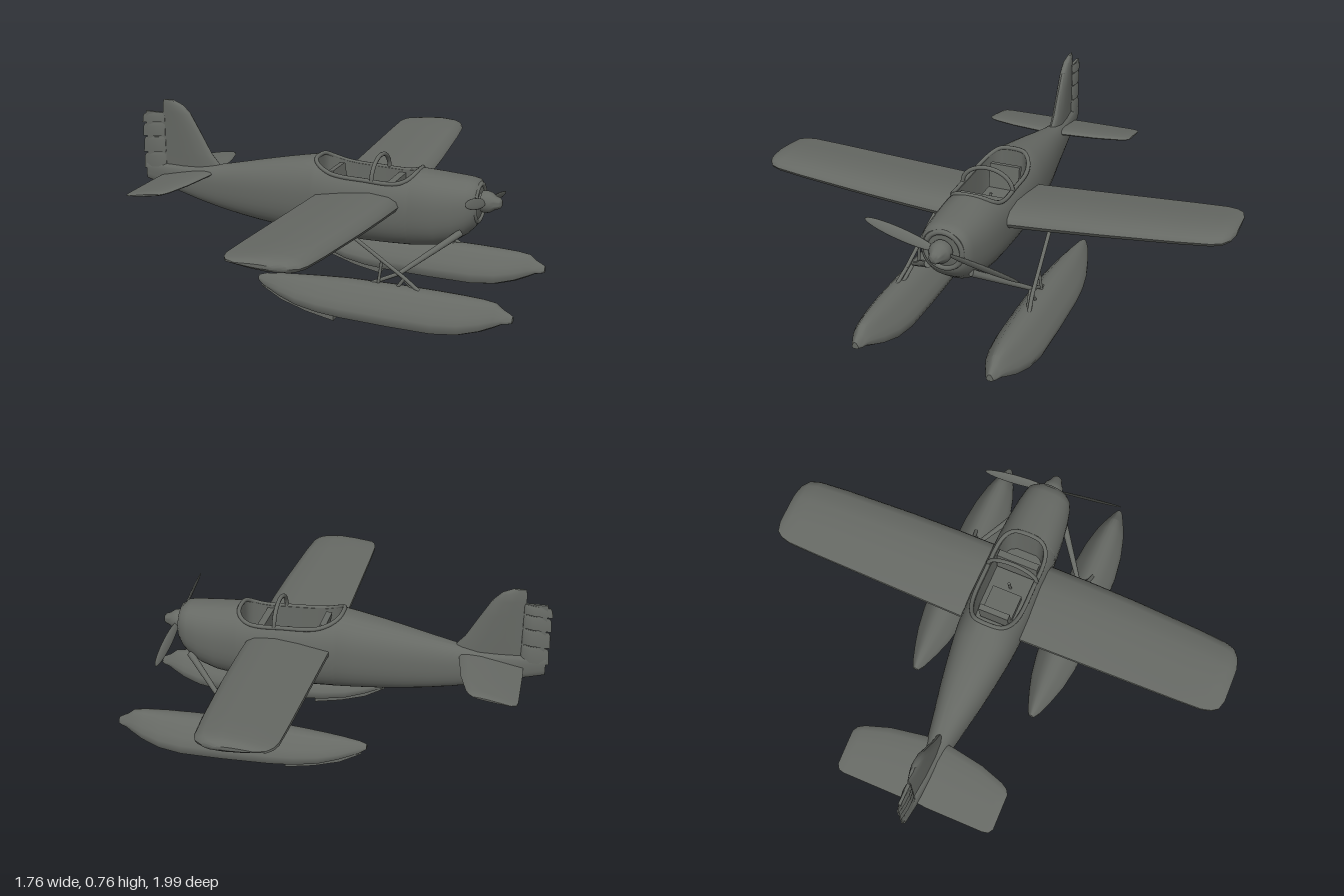
import * as THREE from 'three';
import { toCreasedNormals } from 'three/addons/utils/BufferGeometryUtils.js';

const V = (x, y, z) => new THREE.Vector3(x, y, z);

// Skin closed rings of points (each ring counter-clockwise about the direction of travel)
function loft(rings, crease = 0.7) {
  const n = rings[0].length, pos = [], idx = [];
  rings.forEach(r => r.forEach(p => pos.push(p.x, p.y, p.z)));
  for (let i = 0; i < rings.length - 1; i++) {
    for (let j = 0; j < n; j++) {
      const a = i * n + j, d = i * n + (j + 1) % n, b = a + n, c = d + n;
      idx.push(a, d, b, d, c, b);
    }
  }
  [0, rings.length - 1].forEach((i, end) => {
    const c = rings[i].reduce((s, p) => s.add(p), V(0, 0, 0)).divideScalar(n);
    const k = pos.length / 3;
    pos.push(c.x, c.y, c.z);
    for (let j = 0; j < n; j++) {
      const a = i * n + j, b = i * n + (j + 1) % n;
      idx.push(k, end ? a : b, end ? b : a);
    }
  });
  const g = new THREE.BufferGeometry();
  g.setAttribute('position', new THREE.Float32BufferAttribute(pos, 3));
  g.setIndex(idx);
  return toCreasedNormals(g, crease);
}

// Piecewise linear lookup in rows of [x, value, value...]
function lookup(rows, x, col) {
  let i = 0;
  while (i < rows.length - 2 && x > rows[i + 1][0]) i++;
  const a = rows[i], b = rows[i + 1];
  return THREE.MathUtils.lerp(a[col], b[col], THREE.MathUtils.clamp((x - a[0]) / (b[0] - a[0]), 0, 1));
}

// Aerofoil: u runs from trailing (0) to leading edge (1), v is the share of the thickness
const FOIL = [[1, 0], [0.97, 0.25], [0.88, 0.43], [0.65, 0.52], [0.35, 0.38], [0, 0.1],
  [0, -0.1], [0.35, -0.35], [0.65, -0.45], [0.88, -0.38], [0.97, -0.22]];
const foil = (te, le, t, place) => FOIL.map(([u, v]) => place(te + (le - te) * u, v * t));

// Fuselage stations: x, bottom, top, half width
const BODY = [[-0.87, 0.395, 0.47, 0.008], [-0.75, 0.365, 0.475, 0.024], [-0.6, 0.327, 0.485, 0.043],
  [-0.5, 0.307, 0.5, 0.058], [-0.4, 0.292, 0.522, 0.076], [-0.3, 0.281, 0.545, 0.095],
  [-0.2, 0.273, 0.567, 0.111], [-0.1, 0.268, 0.587, 0.125], [-0.03, 0.265, 0.6, 0.132],
  [0.1, 0.263, 0.595, 0.137], [0.25, 0.264, 0.59, 0.137], [0.4, 0.272, 0.588, 0.134],
  [0.5, 0.287, 0.584, 0.127], [0.57, 0.312, 0.58, 0.118], [0.62, 0.348, 0.577, 0.107],
  [0.645, 0.375, 0.572, 0.098], [0.657, 0.393, 0.56, 0.085]];
// Cockpit sill: x, y
const SILL = [[-0.03, 0.594], [-0.015, 0.583], [0.01, 0.57], [0.05, 0.556], [0.1, 0.549], [0.2, 0.546],
  [0.3, 0.543], [0.345, 0.548], [0.375, 0.56], [0.39, 0.571], [0.4, 0.582]];
const POW = 2.4;

function bodyPoint(x, a) {
  const b = lookup(BODY, x, 1), t = lookup(BODY, x, 2), w = lookup(BODY, x, 3);
  const s = v => Math.sign(v) * Math.abs(v) ** (2 / POW);
  return V(x, (b + t) / 2 + s(Math.cos(a)) * (t - b) / 2, s(Math.sin(a)) * w);
}
function sillAngle(x) {
  const b = lookup(BODY, x, 1), t = lookup(BODY, x, 2);
  return Math.acos(((lookup(SILL, x, 1) - (b + t) / 2) / ((t - b) / 2)) ** (POW / 2));
}
function bodyRing(x, a, open) {
  const ring = [];
  for (let k = 0; k <= 30; k++) ring.push(bodyPoint(x, a + (2 * Math.PI - 2 * a) * k / 30));
  const { y, z } = ring[0], floor = 0.41;
  if (open) ring.push(...[[-0.9, y], [-0.86, floor], [0, floor], [0.86, floor], [0.9, y]].map(([s, h]) => V(x, h, s * z)));
  else for (let k = 1; k < 6; k++) ring.push(bodyPoint(x, -a + 2 * a * k / 6));
  return ring;
}

export function createModel() {
  const model = new THREE.Group();
  const grey = new THREE.MeshStandardMaterial({ color: 0x666964 });
  grey.name = 'darkGrey';
  const add = (name, geo, parent = model) => {
    const m = new THREE.Mesh(geo, grey);
    m.name = name;
    parent.add(m);
    return m;
  };
  const rod = (name, a, b, r, r2 = r) => {
    const m = add(name, new THREE.CylinderGeometry(r2, r, a.distanceTo(b), 10));
    m.position.copy(a).lerp(b, 0.5);
    m.quaternion.setFromUnitVectors(V(0, 1, 0), b.clone().sub(a).normalize());
  };
  const tube = (name, pts, r, closed = false) =>
    add(name, new THREE.TubeGeometry(new THREE.CatmullRomCurve3(pts, closed), 80, r, 8, closed));

  // Fuselage with open cockpit tub
  const sillXs = SILL.map(s => s[0]), first = sillXs[0], last = sillXs[sillXs.length - 1];
  add('fuselage', loft([
    ...BODY.filter(r => r[0] < first).map(r => bodyRing(r[0], 0.3, false)),
    bodyRing(first, sillAngle(first), false),
    ...sillXs.map(x => bodyRing(x, sillAngle(x), true)),
    bodyRing(last, sillAngle(last), false),
    ...BODY.filter(r => r[0] > last).map(r => bodyRing(r[0], 0.3, false)),
  ]));

  // Cockpit rim, hoop and fittings
  const side = s => sillXs.map(x => bodyPoint(x, s * sillAngle(x)));
  tube('cockpitRim', [...side(1), ...side(-1).reverse()], 0.009, true);
  const hoop = [];
  for (let k = 0; k <= 12; k++) {
    const a = Math.PI * k / 12;
    hoop.push(V(0.235, 0.545 + 0.082 * Math.sin(a), 0.108 * Math.cos(a)));
  }
  tube('cockpitHoop', hoop, 0.009);
  add('seatCushion', new THREE.BoxGeometry(0.13, 0.04, 0.13)).position.set(0.12, 0.435, 0);
  const back = add('seatBack', new THREE.BoxGeometry(0.025, 0.13, 0.13));
  back.position.set(0.05, 0.49, 0);
  back.rotation.z = 0.15;
  add('instrumentPanel', new THREE.BoxGeometry(0.03, 0.11, 0.18)).position.set(0.3, 0.48, 0);
  rod('controlStick', V(0.22, 0.41, 0), V(0.2, 0.5, 0), 0.006);

  // Wings: span, trailing x, leading x, thickness
  const WING = [[0.1, 0, 0.36, 0.085], [0.3, 0, 0.355, 0.08], [0.5, 0, 0.346, 0.074], [0.8, 0, 0.325, 0.066],
    [0.92, 0.002, 0.312, 0.062], [0.96, 0.012, 0.298, 0.054], [0.985, 0.03, 0.265, 0.04], [0.997, 0.07, 0.22, 0.015]];
  for (const s of [1, -1]) {
    const rows = s > 0 ? WING : [...WING].reverse();
    const rise = s > 0 ? 0.045 : 0.068;
    add(s > 0 ? 'leftWing' : 'rightWing', loft(rows.map(([z, te, le, t]) =>
      foil(te, le, t, (x, v) => V(x, 0.453 + rise * z + v, s * z)))));
  }

  // Tailplane
  const TAIL = [[0, -0.78, -0.52, 0.03], [0.06, -0.785, -0.525, 0.03], [0.2, -0.785, -0.548, 0.026],
    [0.3, -0.785, -0.58, 0.022], [0.325, -0.78, -0.595, 0.018], [0.338, -0.76, -0.615, 0.008]];
  const tailRows = [...TAIL.slice(1).reverse().map(([z, ...r]) => [-z, ...r]), ...TAIL];
  add('tailplane', loft(tailRows.map(([z, te, le, t]) =>
    foil(te, le, t, (x, v) => V(x, 0.444 + (x + 0.65) * 0.16 + v, z)))));

  // Fin and ribbed rudder
  const FIN = [[0.43, -0.775, -0.47, 0.04], [0.5, -0.775, -0.505, 0.04], [0.54, -0.775, -0.54, 0.04],
    [0.64, -0.775, -0.598, 0.038], [0.71, -0.775, -0.64, 0.036], [0.745, -0.775, -0.675, 0.03], [0.765, -0.77, -0.72, 0.012]];
  add('fin', loft(FIN.map(([y, te, le, t]) => foil(te, le, t, (x, v) => V(x, y, -v)))));
  const ribs = [0.455, 0.53, 0.603, 0.665, 0.71];
  for (let i = 0; i < 4; i++) {
    const y0 = ribs[i], y1 = ribs[i + 1] - 0.006;
    const rows = [[y0, -0.882, 0.03], [y1 - 0.012, -0.878, 0.026], [y1, -0.872, 0.016]];
    add('rudderPanel', loft(rows.map(([y, te, t]) =>
      foil(te, -0.765, t, (x, v) => V(x, y + (x + 0.77) * 0.12, -v))), 0.5));
  }
  add('rudderCore', new THREE.BoxGeometry(0.09, 0.27, 0.012)).position.set(-0.815, 0.57, 0);

  // Nose ring, spinner and two-bladed propeller
  const ring = add('cowlRing', new THREE.TorusGeometry(0.075, 0.011, 8, 32));
  ring.rotation.y = Math.PI / 2;
  ring.position.set(0.655, 0.478, 0);
  const propeller = new THREE.Group();
  propeller.name = 'propeller';
  propeller.position.set(0.655, 0.485, 0);
  model.add(propeller);
  const profile = [[0, 0], [0.032, 0], [0.032, 0.01], [0.043, 0.012], [0.045, 0.03], [0.041, 0.048],
    [0.028, 0.066], [0.022, 0.084], [0.014, 0.091], [0, 0.092]].map(p => new THREE.Vector2(...p));
  add('spinner', toCreasedNormals(new THREE.LatheGeometry(profile, 24), 0.7), propeller).rotation.z = -Math.PI / 2;
  for (const a of [1.32, Math.PI + 1.38]) {
    const arm = new THREE.Group();
    arm.name = 'bladeArm';
    arm.position.x = 0.028;
    arm.rotation.x = a;
    propeller.add(arm);
    const blade = add('blade', new THREE.SphereGeometry(1, 16, 16).scale(0.006, 0.152, 0.023), arm);
    blade.position.y = 0.168;
    blade.rotation.y = 0.5;
  }

  // Float stations: x, bottom, top, half width
  const FLOAT = [[-0.19, 0.118, 0.14, 0.012], [-0.16, 0.1, 0.15, 0.028], [-0.08, 0.07, 0.16, 0.055],
    [0, 0.048, 0.167, 0.077], [0.1, 0.035, 0.175, 0.093], [0.2, 0.029, 0.182, 0.1], [0.4, 0.025, 0.187, 0.102],
    [0.58, 0.025, 0.187, 0.1], [0.68, 0.036, 0.186, 0.088], [0.76, 0.06, 0.184, 0.067], [0.81, 0.083, 0.178, 0.047],
    [0.84, 0.1, 0.155, 0.032], [0.86, 0.103, 0.146, 0.024], [0.878, 0.108, 0.136, 0.014]];
  // Half cross-section: height share, width share
  const HULL = [[1, 0.12], [0.96, 0.32], [0.8, 0.56], [0.58, 0.82], [0.4, 0.98], [0.28, 1], [0.14, 0.9], [0.03, 0.45]];
  for (const s of [1, -1]) {
    const zc = 0.275 * s, p = (x, y, z) => V(x, y, z * s);
    const loop = [...HULL, ...[...HULL].reverse().map(([h, w]) => [h, -w])];
    add('float', loft(FLOAT.map(([x, b, t, w]) => loop.map(([h, k]) => V(x, b + (t - b) * h, zc + w * k))), 0.6));

    // Keel skeg below the float's tail
    const skeg = new THREE.Shape([[-0.17, 0.105], [-0.08, 0.055], [0.03, 0.022], [0.15, 0], [0.15, 0.02], [0.15, 0.05], [0, 0.07]]
      .map(q => new THREE.Vector2(...q)));
    add('floatSkeg', new THREE.ExtrudeGeometry(skeg, { depth: 0.05, bevelEnabled: false })).position.z = zc - 0.025;

    // Struts from wing and nose, forking to the float deck
    rod('wingStrut', p(0.09, 0.43, 0.24), p(0.44, 0.222, 0.272), 0.008);
    rod('wingStrutFoot', p(0.44, 0.222, 0.272), p(0.51, 0.178, 0.285), 0.008);
    rod('wingStrutFork', p(0.44, 0.222, 0.272), p(0.41, 0.178, 0.275), 0.007);
    rod('noseStrut', p(0.41, 0.23, 0.255), p(0.61, 0.375, 0.09), 0.009, 0.015);
    rod('noseStrutFoot', p(0.41, 0.23, 0.255), p(0.30, 0.178, 0.265), 0.008);
    rod('noseStrutFork', p(0.41, 0.23, 0.255), p(0.48, 0.178, 0.27), 0.008);
    rod('strutBrace', p(0.34, 0.275, 0.262), p(0.33, 0.182, 0.27), 0.006);
  }

  return model;
}
